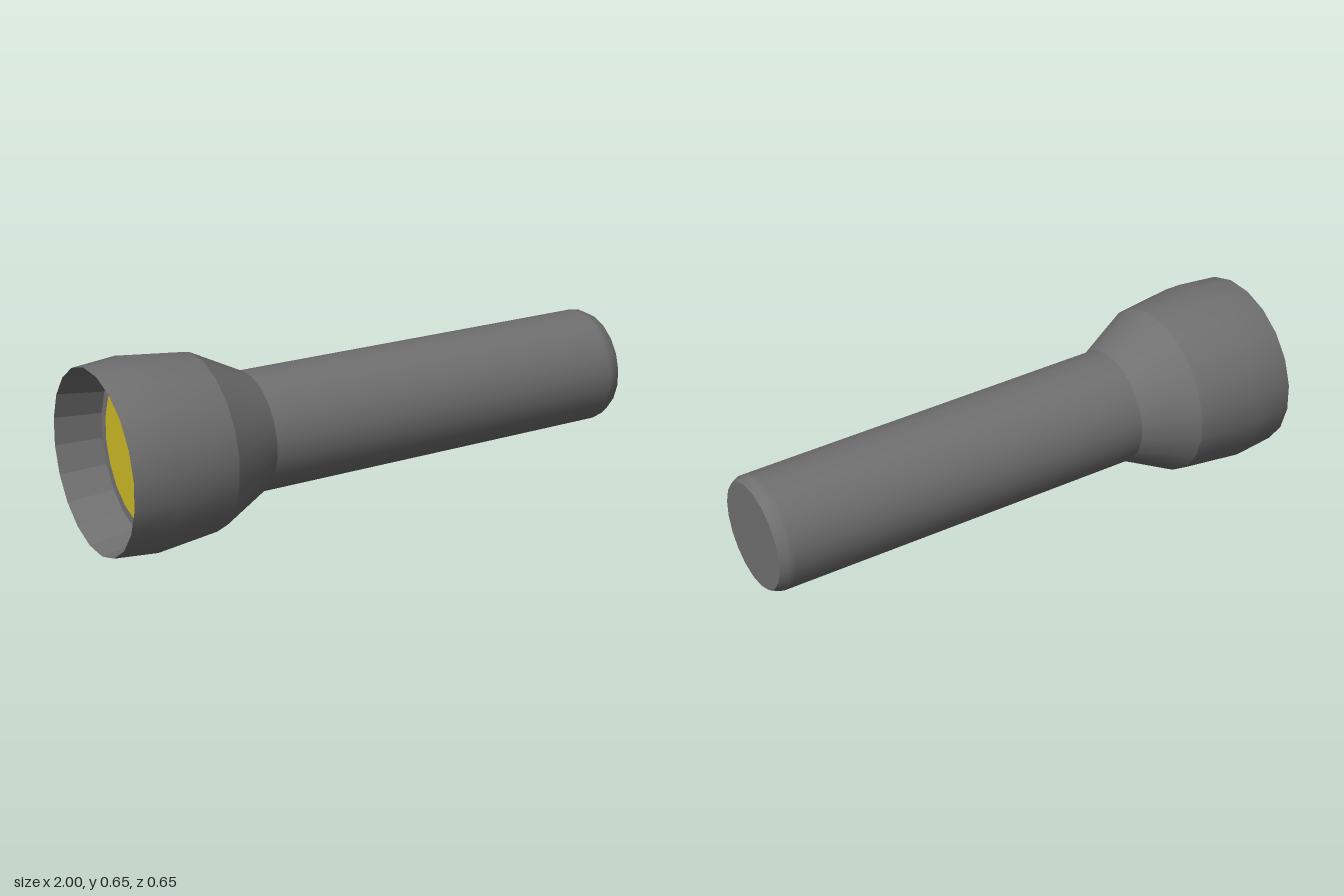
import * as THREE from 'three';

const SIDES = 20;
const grey = new THREE.MeshStandardMaterial({ color: 0x707070 });
const greyFlat = new THREE.MeshStandardMaterial({ color: 0x707070, flatShading: true });
const yellow = new THREE.MeshStandardMaterial({ color: 0xcab724 });

// Turned section: profile of [radius, position along the axis]
function turned(name, profile, material) {
  const points = profile.map(([r, s]) => new THREE.Vector2(r, s));
  const mesh = new THREE.Mesh(new THREE.LatheGeometry(points, SIDES, Math.PI / SIDES), material);
  mesh.name = name;
  return mesh;
}

export function createModel() {
  const flashlight = new THREE.Group();
  flashlight.name = 'flashlight';

  flashlight.add(
    // Outer shell, from the open head to the softly bevelled tail
    turned('headShell', [[0.315, -0.985], [0.329, -0.83], [0.304, -0.61]], grey),
    turned('neckCone', [[0.304, -0.61], [0.207, -0.42]], grey),
    turned('handle', [[0.207, -0.42], [0.203, 0.94], [0.203, 0.96], [0.188, 0.99]], grey),
    turned('tailCap', [[0.188, 0.99], [0, 0.99]], greyFlat),
    // Recess of the head: profile runs inwards so the faces look at the axis
    turned('recessLedge', [[0.258, -0.823], [0.289, -0.823]], greyFlat),
    turned('recessWall', [[0.289, -0.823], [0.315, -0.985]], greyFlat),
    turned('lens', [[0, -0.823], [0.258, -0.823]], yellow),
  );

  // The lamp lies along x, slightly skewed, without rolling about its axis
  flashlight.rotation.set(0, -0.0464, -Math.PI / 2 - 0.0137, 'YZX');
  flashlight.position.set(0, 0.3137, 0.0385);

  const model = new THREE.Group();
  model.add(flashlight);
  return model;
}
